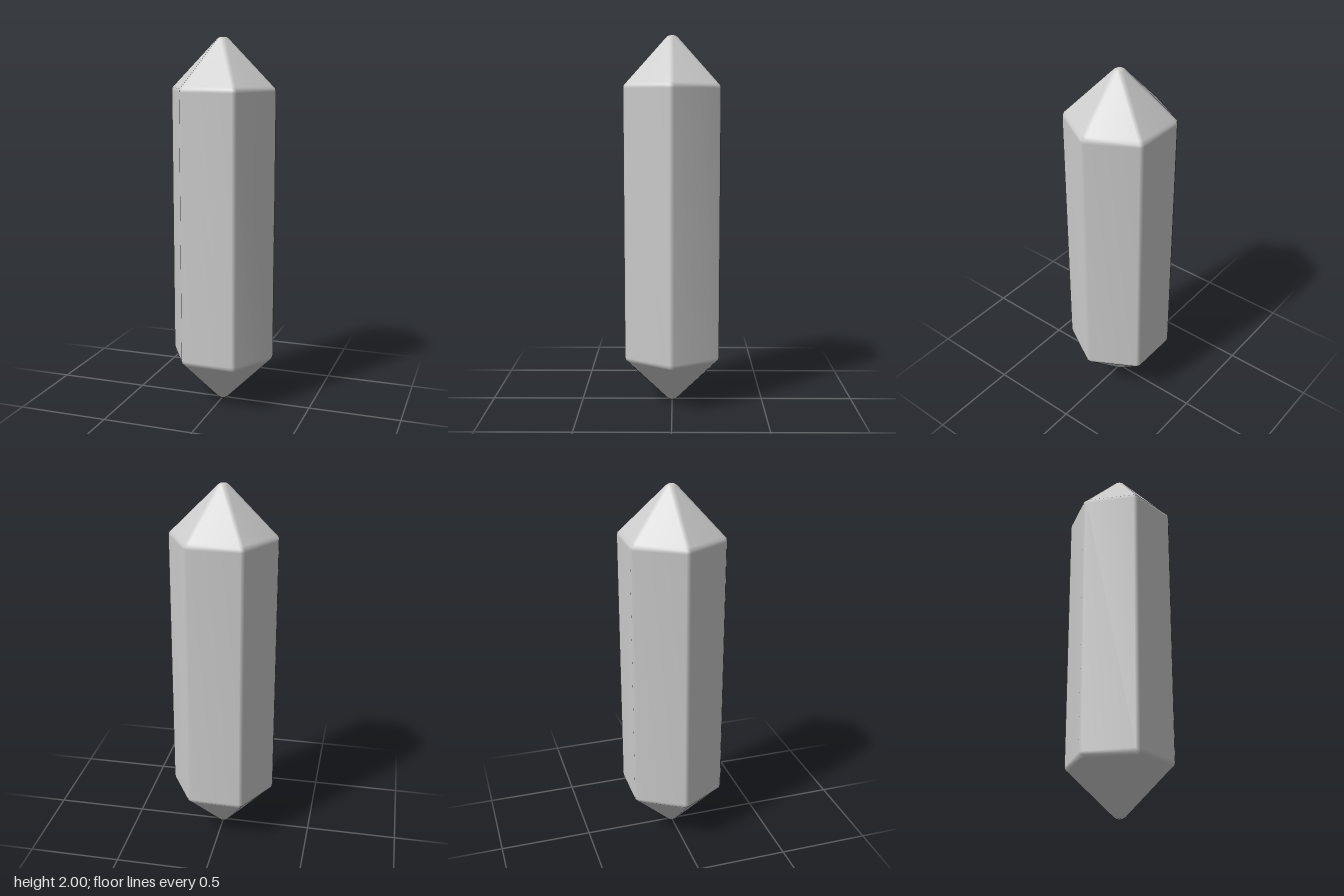
import * as THREE from 'three';

// Hexagonal ring whose six corners are each cut by a narrow bevel
function bevelledHexagon(radius, y, halfBevel) {
  const points = [];
  for (let k = 0; k < 6; k++) {
    const a = (k * Math.PI) / 3;
    for (const side of [-halfBevel, halfBevel]) {
      points.push(
        radius * Math.cos(a) - side * Math.sin(a),
        y,
        radius * Math.sin(a) + side * Math.cos(a)
      );
    }
  }
  return points;
}

// Closed smooth skin through the rings, capped at both ends
function skinRings(rings) {
  const sides = 12;
  const positions = rings.flatMap(([r, y, b]) => bevelledHexagon(r, y, b));
  const index = [];
  for (let i = 0; i < rings.length - 1; i++) {
    for (let j = 0; j < sides; j++) {
      const n = (j + 1) % sides;
      const a = i * sides + j, b = i * sides + n;
      const c = a + sides, d = b + sides;
      index.push(a, c, d, a, d, b);
    }
  }
  const bottom = rings.length * sides;
  const top = bottom + 1;
  const last = bottom - sides;
  positions.push(0, rings[0][1], 0, 0, rings[rings.length - 1][1], 0);
  for (let j = 0; j < sides; j++) {
    const n = (j + 1) % sides;
    index.push(bottom, j, n, top, last + n, last + j);
  }
  const geometry = new THREE.BufferGeometry();
  geometry.setAttribute('position', new THREE.Float32BufferAttribute(positions, 3));
  geometry.setIndex(index);
  geometry.computeVertexNormals();
  return geometry;
}

export function createModel() {
  const group = new THREE.Group();
  group.name = 'crystal';

  // Upper half: [corner radius, height above the middle, half bevel width]
  const half = [
    [0.287, 0.72, 0.012], // shaft edge
    [0.284, 0.737, 0.012], // rounded shoulder
    [0.27, 0.75, 0.012], // start of the point
    [0.029, 0.992, 0.009], // end of the point
    [0.017, 1, 0.005], // blunt tip
  ];
  const upper = half.map(([r, h, b]) => [r, 1 + h, b]);
  const lower = half.map(([r, h, b]) => [r, 1 - h, b]).reverse();

  const crystal = new THREE.Mesh(
    skinRings([...lower, ...upper]),
    new THREE.MeshStandardMaterial({ color: 0xcccccc })
  );
  crystal.name = 'crystalBody';
  group.add(crystal);
  return group;
}
